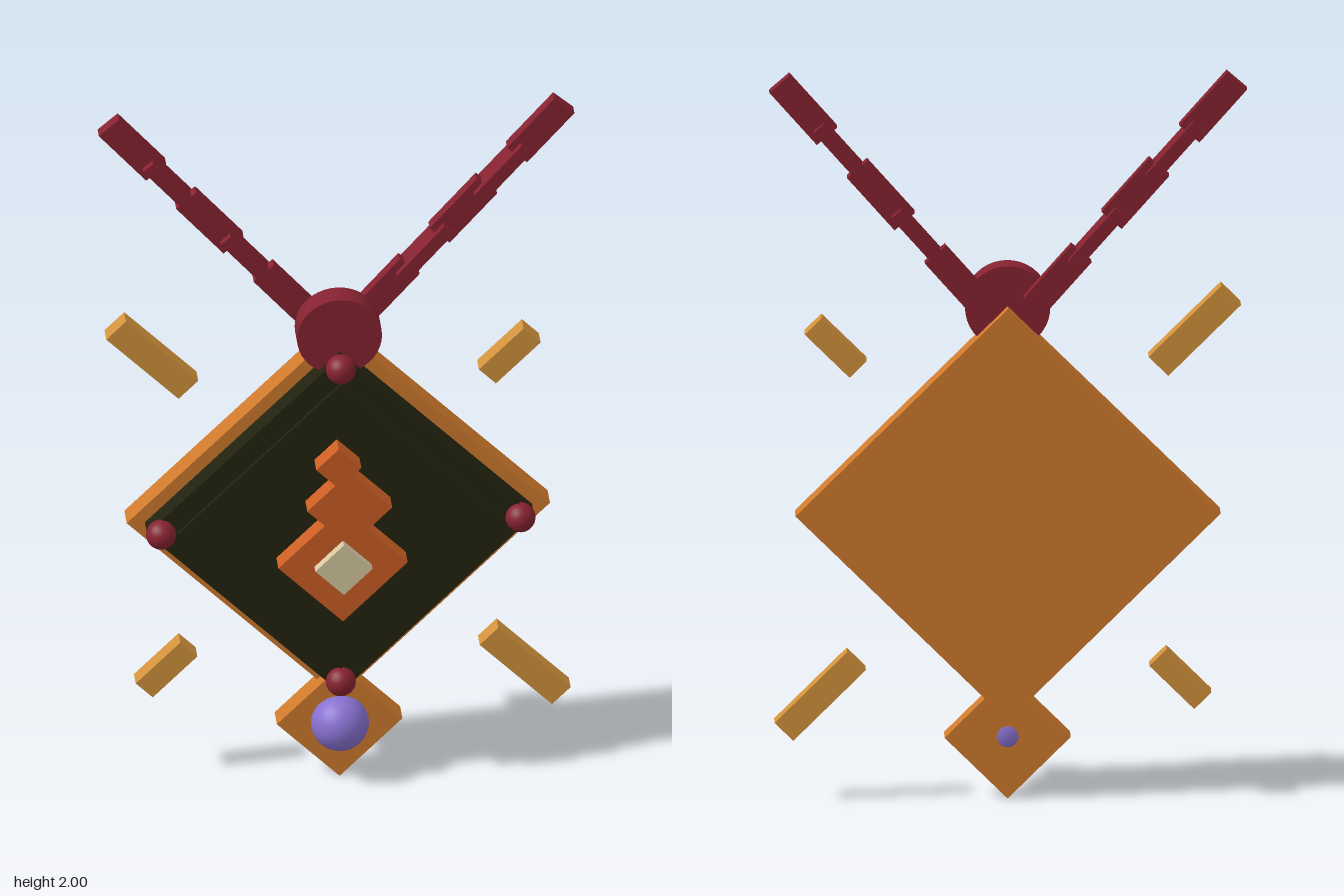
import * as THREE from 'three';

const mat = (name, color) => {
  const m = new THREE.MeshStandardMaterial({ color });
  m.name = name;
  return m;
};

export function createModel() {
  const bronze = mat('bronze', 0xcf7a2c);
  const gold = mat('gold', 0xd2923c);
  const copper = mat('copper', 0xcc5f24);
  const red = mat('dark red', 0x862230);
  const black = mat('olive black', 0x222210);
  const violet = mat('violet', 0x8870d0);
  const cream = mat('cream', 0xd6c8a0);

  const group = new THREE.Group();
  group.name = 'pendant';

  const add = (name, geometry, material, x, y, z, angle = 0) => {
    const mesh = new THREE.Mesh(geometry, material);
    mesh.name = name;
    mesh.position.set(x, y, z);
    mesh.rotation.z = angle;
    group.add(mesh);
    return mesh;
  };

  // Square plate standing on its corner; half is its half diagonal
  const diamond = (name, material, x, y, half, back, front) => {
    const side = half * Math.SQRT2;
    add(name, new THREE.BoxGeometry(side, side, front - back), material,
      x, y, (front + back) / 2, Math.PI / 4);
  };

  // Body: back plate and two dark layers
  const midY = 0.79;
  diamond('backPlate', bronze, 0, midY, 0.563, -0.094, -0.028);
  diamond('darkPanel', black, 0, midY, 0.515, -0.028, 0.034);
  diamond('raisedPanel', black, 0, midY, 0.435, 0.034, 0.046);

  // Stacked emblem with a pale centre
  diamond('emblemBase', copper, 0, 0.705, 0.172, 0.046, 0.102);
  diamond('emblemMiddle', copper, 0.018, 0.875, 0.113, 0.046, 0.1015);
  diamond('emblemTip', copper, -0.011, 1.0, 0.06, 0.046, 0.101);
  diamond('emblemCentre', cream, 0, 0.705, 0.076, 0.1, 0.128);

  // Studs on the four corners
  const stud = new THREE.SphereGeometry(0.04, 24, 16);
  for (const [x, y] of [[-0.478, 0.79], [0.478, 0.79], [0, 1.27], [0, 0.314]]) {
    add('cornerStud', stud, red, x, y, 0.04);
  }

  // Round bail on top
  const bail = new THREE.CylinderGeometry(0.113, 0.113, 0.068, 40).rotateX(Math.PI / 2);
  add('bail', bail, red, 0, 1.349, -0.028);

  // Lower drop with its bead
  diamond('dropPlate', bronze, 0, 0.172, 0.167, -0.056, 0.008);
  add('dropBead', new THREE.SphereGeometry(0.077, 32, 20), violet, 0, 0.174, 0.015);

  // Floating rays, long and short
  const rays = [
    [-0.495, 1.286, 0.272, 0.074, -1], [0.497, 0.293, 0.272, 0.07, -1],
    [0.456, 1.246, 0.168, 0.064, 1], [-0.457, 0.334, 0.168, 0.064, 1],
  ];
  for (const [x, y, length, width, dir] of rays) {
    add('ray', new THREE.BoxGeometry(length, width, 0.05), gold,
      x, y, -0.053, dir * Math.PI / 4);
  }

  // Two chains of links, every second one turned edge-on
  const flatLink = new THREE.BoxGeometry(0.191, 0.071, 0.035);
  const edgeLink = new THREE.BoxGeometry(0.191, 0.035, 0.075);
  const slope = Math.atan2(0.235, 0.206);
  for (const side of [-1, 1]) {
    for (let i = 0; i < 5; i++) {
      add(side > 0 ? 'leftChainLink' : 'rightChainLink', i % 2 ? edgeLink : flatLink, red,
        side * (0.131 + 0.103 * i), 1.435 + 0.1175 * i, -0.093, side * slope);
    }
  }

  return group;
}
